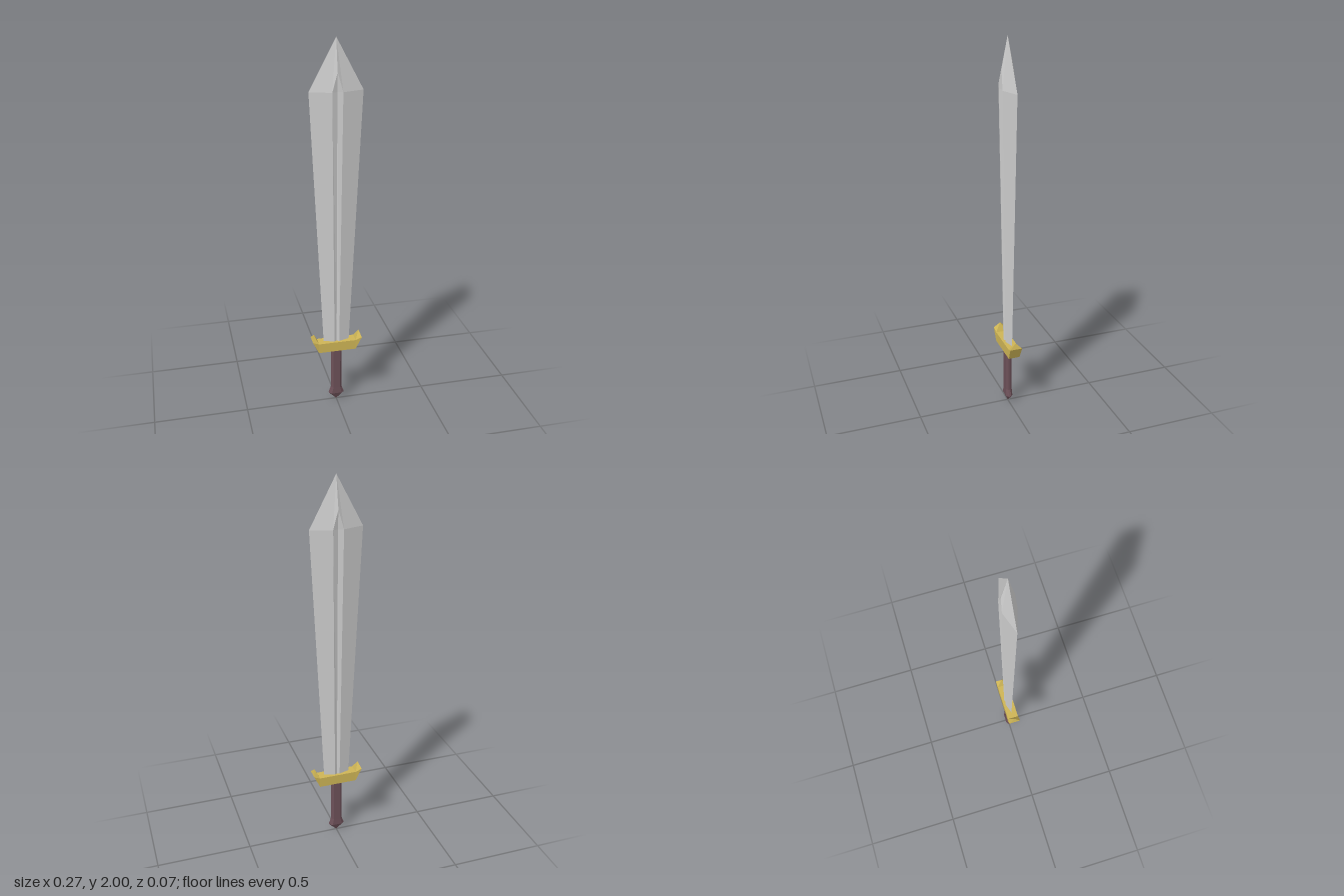
import * as THREE from 'three';

// Skin a list of equal-length rings of [x, y, z] points with flat facets.
function loft(rings, capStart = false) {
  const pos = [];
  const tri = (a, b, c) => {
    const [p, q, r] = [a, b, c].map((v) => new THREE.Vector3(...v));
    if (q.clone().sub(p).cross(r.clone().sub(p)).length() > 1e-8) pos.push(...a, ...b, ...c);
  };
  for (let k = 0; k < rings.length - 1; k++) {
    const low = rings[k], high = rings[k + 1], n = low.length;
    for (let i = 0; i < n; i++) {
      const j = (i + 1) % n;
      tri(low[i], high[j], low[j]);
      tri(low[i], high[i], high[j]);
    }
  }
  if (capStart) {
    const r = rings[0];
    for (let i = 1; i < r.length - 1; i++) tri(r[0], r[i], r[i + 1]);
  }
  const g = new THREE.BufferGeometry();
  g.setAttribute('position', new THREE.Float32BufferAttribute(pos, 3));
  g.computeVertexNormals();
  return g;
}

function part(name, geometry, color) {
  const mesh = new THREE.Mesh(geometry, new THREE.MeshStandardMaterial({ color, flatShading: true }));
  mesh.name = name;
  return mesh;
}

// Blade section: sharp edges, two ridges and a groove between them on each face.
function bladeRing(y, edge, ridgeX, ridgeZ, grooveZ, grooveY = y) {
  return [
    [edge, y, 0], [ridgeX, y, ridgeZ], [0, grooveY, grooveZ], [-ridgeX, y, ridgeZ],
    [-edge, y, 0], [-ridgeX, y, -ridgeZ], [0, grooveY, -grooveZ], [ridgeX, y, -ridgeZ],
  ];
}

// Grip section: a flattened octagon.
function gripRing(y, w, d) {
  return [[1, 0.35], [0.65, 1], [-0.65, 1], [-1, 0.35], [-1, -0.35], [-0.65, -1], [0.65, -1], [1, -0.35]]
    .map(([x, z]) => [x * w, y, z * d]);
}

// Guard section: a four-cornered ring given by its lower and upper [x, y].
function guardRing([bx, by], [tx, ty], bz, tz) {
  return [[bx, by, bz], [tx, ty, tz], [tx, ty, -tz], [bx, by, -bz]];
}

export function createModel() {
  const sword = new THREE.Group();
  sword.name = 'sword';

  // Blade widens towards the shoulder; the groove closes below the point.
  sword.add(part('blade', loft([
    bladeRing(0.36, 0.069, 0.013, 0.018, 0.011),
    bladeRing(1.745, 0.135, 0.027, 0.035, 0.025),
    bladeRing(1.745, 0.135, 0.027, 0.035, 0.031, 1.84),
    bladeRing(2, 0, 0, 0, 0),
  ], true), 0xcccccc));

  // Crossguard with upswept pointed horns, mirrored at both ends.
  const horn = (s) => [
    guardRing([s * 0.102, 0.324], [s * 0.102, 0.378], 0.03, 0.03),
    guardRing([s * 0.135, 0.393], [s * 0.102, 0.378], 0.033, 0.03),
    guardRing([s * 0.124, 0.424], [s * 0.124, 0.424], 0, 0),
  ];
  sword.add(part('crossguard', loft([...horn(-1).reverse(), ...horn(1)]), 0xcdb455));

  // Grip flaring into a pointed pommel.
  sword.add(part('grip', loft([
    gripRing(0, 0, 0),
    gripRing(0.043, 0.042, 0.018),
    gripRing(0.08, 0.029, 0.017),
    gripRing(0.335, 0.029, 0.017),
  ]), 0x6c5058));

  return sword;
}
